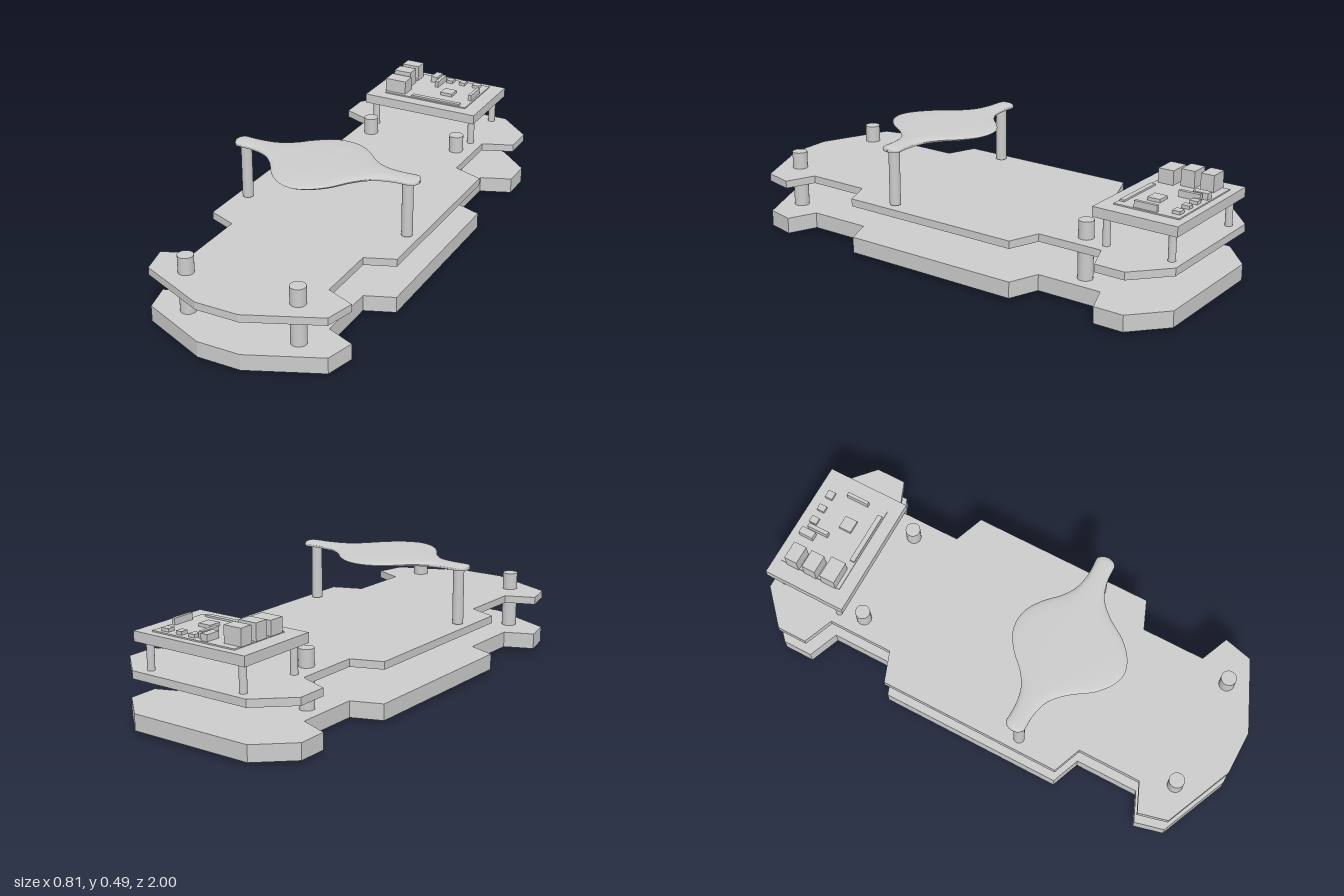
import * as THREE from 'three';
import { toCreasedNormals } from 'three/addons/utils/BufferGeometryUtils.js';

const material = new THREE.MeshStandardMaterial({ color: 0xcccccc });
const doubleSided = new THREE.MeshStandardMaterial({ color: 0xcccccc, side: THREE.DoubleSide });

function add(parent, name, geometry, mat = material) {
  const mesh = new THREE.Mesh(geometry, mat);
  mesh.name = name;
  parent.add(mesh);
  return mesh;
}

// Box given by its limits on each axis
function box(parent, name, x0, x1, y0, y1, z0, z1) {
  add(parent, name, new THREE.BoxGeometry(x1 - x0, y1 - y0, z1 - z0))
    .position.set((x0 + x1) / 2, (y0 + y1) / 2, (z0 + z1) / 2);
}

// Mirrored pair of upright round posts
function postPair(parent, name, x, z, r, y0, y1) {
  for (const side of [-1, 1]) {
    add(parent, name, new THREE.CylinderGeometry(r, r, y1 - y0, 32))
      .position.set(side * x, (y0 + y1) / 2, z);
  }
}

// Chassis plate: half outline (x, z) from front to back, mirrored
function plateGeometry(height) {
  const half = [
    [0.09, 0.995], [0.375, 0.87], [0.405, 0.75], [0.287, 0.7], [0.287, 0.437],
    [0.405, 0.39], [0.405, -0.38], [0.28, -0.427], [0.28, -0.7],
    [0.405, -0.75], [0.405, -0.875], [0.267, -1],
  ];
  const outline = [...half, ...half.map(([x, z]) => [-x, z]).reverse()];
  const shape = new THREE.Shape(outline.map(([x, z]) => new THREE.Vector2(x, -z)));
  return new THREE.ExtrudeGeometry(shape, { depth: height, bevelEnabled: false })
    .rotateX(-Math.PI / 2);
}

// Canopy: flat-bottomed domed sections lofted along x
function canopyGeometry() {
  // x, back edge z, front edge z
  const stations = [
    [0, 0.005, 0.473], [0.06, 0.017, 0.455], [0.12, 0.057, 0.405], [0.18, 0.115, 0.32],
    [0.24, 0.15, 0.265], [0.31, 0.162, 0.243], [0.375, 0.16, 0.24],
  ];
  const full = [...stations.slice(1).reverse().map(([x, b, f]) => [-x, b, f]), ...stations];
  const curveOf = (k) => new THREE.CatmullRomCurve3(full.map((s) => new THREE.Vector3(s[0], s[k], 0)));
  const n = 48, m = 16;
  const back = curveOf(1).getPoints(n), front = curveOf(2).getPoints(n);
  const rows = back.map((p, i) => ({
    x: (p.x + front[i].x) / 2, mid: (p.y + front[i].y) / 2, half: (front[i].y - p.y) / 2, lift: 1,
  }));
  // rounded tips
  const tip = (side, list) => list.map((a) => ({
    x: side * (0.375 + 0.026 * Math.sin(a)), mid: 0.2, half: 0.04 * Math.cos(a), lift: Math.cos(a) ** 0.5,
  }));
  const angles = [0.4, 0.8, 1.15, 1.4, 1.56];
  const sections = [...tip(-1, [...angles].reverse()), ...rows, ...tip(1, angles)];

  const positions = [], index = [];
  const ring = m + 3;
  for (const { x, mid, half, lift } of sections) {
    for (let j = 0; j <= m; j++) {
      const t = -Math.cos((j / m) * Math.PI);
      const y = 0.479 + 0.013 * lift * Math.sqrt(1 - Math.abs(t) ** 2.5);
      positions.push(x, y, mid + half * t);
    }
    positions.push(x, 0.472, mid + half * 0.95, x, 0.472, mid - half * 0.95);
  }
  for (let i = 0; i < sections.length - 1; i++) {
    for (let j = 0; j < ring; j++) {
      const a = i * ring + j, b = i * ring + (j + 1) % ring;
      index.push(a, b, a + ring, b, b + ring, a + ring);
    }
  }
  const geometry = new THREE.BufferGeometry();
  geometry.setAttribute('position', new THREE.Float32BufferAttribute(positions, 3));
  geometry.setIndex(index);
  return toCreasedNormals(geometry, 0.7);
}

export function createModel() {
  const model = new THREE.Group();
  model.name = 'roverChassis';

  // Two stacked plates
  add(model, 'lowerPlate', plateGeometry(0.066)).position.y = 0.012;
  add(model, 'upperPlate', plateGeometry(0.031)).position.y = 0.211;

  // Spacers through both plates
  postPair(model, 'frontSpacer', 0.235, 0.83, 0.031, 0, 0.313);
  postPair(model, 'rearSpacer', 0.205, -0.588, 0.03, 0, 0.313);

  // Canopy on two posts
  const canopy = new THREE.Group();
  canopy.name = 'canopy';
  model.add(canopy);
  add(canopy, 'canopyShell', canopyGeometry(), doubleSided);
  postPair(canopy, 'canopyPost', 0.355, 0.205, 0.022, 0.246, 0.476);

  // Raised tray with the circuit board
  const tray = new THREE.Group();
  tray.name = 'electronicsTray';
  model.add(tray);
  box(tray, 'trayBase', -0.26, 0.258, 0.352, 0.392, -0.995, -0.643);
  postPair(tray, 'trayFrontLeg', 0.229, -0.69, 0.0145, 0.242, 0.352);
  postPair(tray, 'trayRearLeg', 0.217, -0.955, 0.0145, 0.242, 0.352);
  box(tray, 'circuitBoard', -0.19, 0.195, 0.392, 0.397, -0.965, -0.695);

  // Components: name, x range, z range, top height
  const parts = [
    ['networkPort', -0.195, -0.1, -0.775, -0.71, 0.455],
    ['portBlock', -0.195, -0.117, -0.855, -0.797, 0.464],
    ['portBlock', -0.195, -0.117, -0.935, -0.88, 0.464],
    ['processor', 0.04, 0.095, -0.83, -0.777, 0.41],
    ['pinHeader', -0.063, 0.163, -0.72, -0.7, 0.404],
    ['audioJack', -0.06, -0.03, -0.957, -0.895, 0.423],
    ['ribbonSlot', -0.02, -0.004, -0.94, -0.85, 0.423],
    ['ribbonSlot', 0.174, 0.188, -0.87, -0.775, 0.423],
    ['smallPort', 0.006, 0.035, -0.95, -0.918, 0.41],
    ['smallPort', 0.067, 0.094, -0.95, -0.918, 0.41],
    ['smallPort', 0.13, 0.163, -0.95, -0.918, 0.41],
  ];
  for (const [name, x0, x1, z0, z1, top] of parts) box(tray, name, x0, x1, 0.396, top, z0, z1);

  return model;
}
